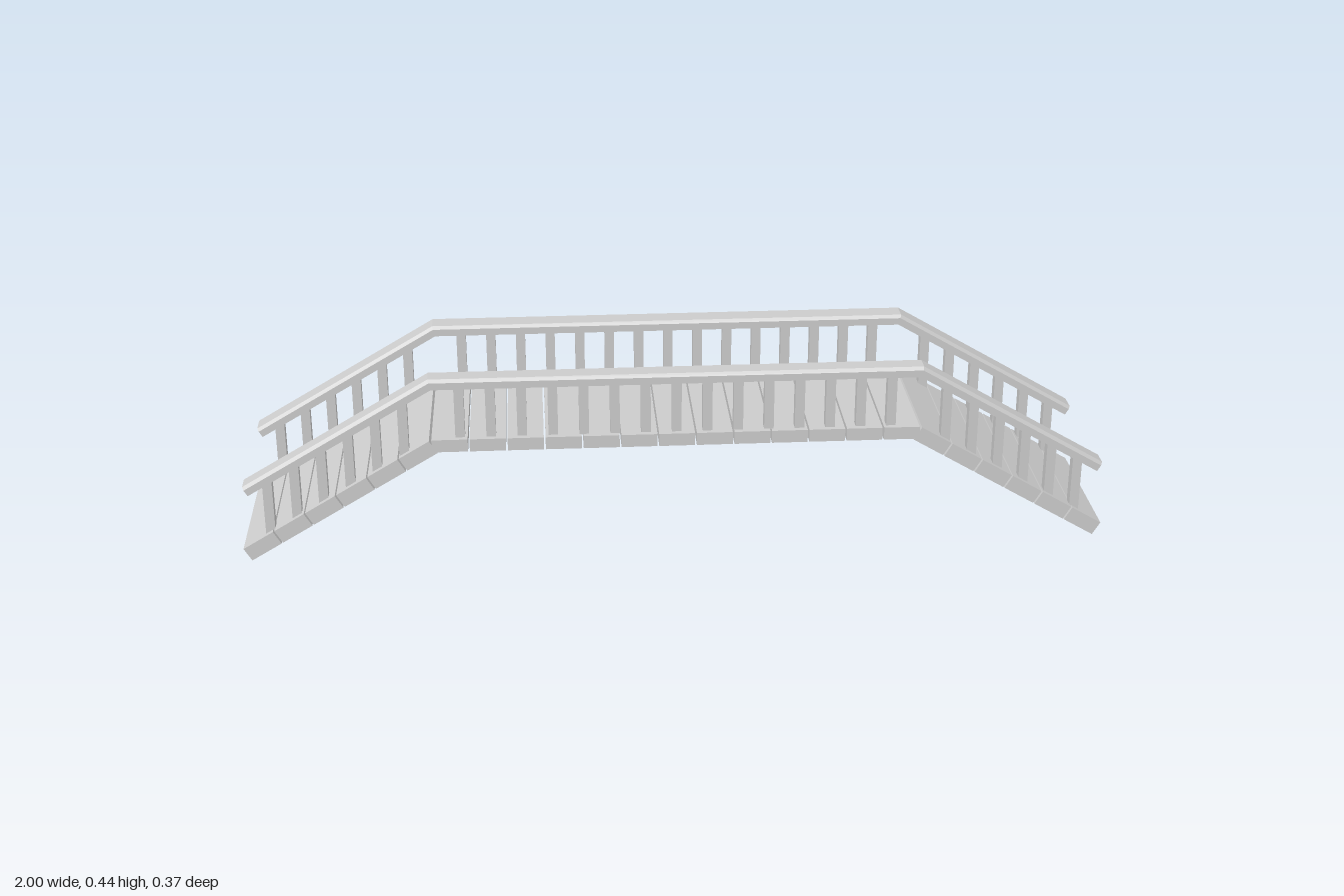
import * as THREE from 'three';

const BEND = 0.56;               // half length of the level span
const DECK_TOP = 0.292;
const RAMP_END = { x: 1, y: 0.0303 };
const RAIL_TOP = 0.443;
const RAIL_END = { x: 0.99, y: 0.19 };
const DECK_WIDTH = 0.354;
const GAP = 0.004;

const material = new THREE.MeshStandardMaterial({ color: 0xcccccc, flatShading: true });

function addBox(parent, name, size, position, tilt = 0) {
  const mesh = new THREE.Mesh(new THREE.BoxGeometry(...size), material);
  mesh.name = name;
  mesh.position.set(...position);
  mesh.rotation.z = tilt;
  parent.add(mesh);
}

// Handrail: one chamfered section swept through four mitred stations
function railGeometry(section) {
  const angle = Math.atan2(RAIL_TOP - RAIL_END.y, RAIL_END.x - BEND);
  const end = [Math.sin(angle), Math.cos(angle)];
  const mitre = [Math.tan(angle / 2), 1];
  const stations = [
    [-RAIL_END.x, RAIL_END.y, -end[0], end[1]],
    [-BEND, RAIL_TOP, -mitre[0], mitre[1]],
    [BEND, RAIL_TOP, mitre[0], mitre[1]],
    [RAIL_END.x, RAIL_END.y, end[0], end[1]],
  ];
  const n = section.length;
  const positions = [];
  const index = [];
  for (const [x, y, dx, dy] of stations) {
    for (const [z, drop] of section) positions.push(x - dx * drop, y - dy * drop, z);
  }
  for (let s = 0; s < 3; s++) {
    for (let i = 0; i < n; i++) {
      const a = s * n + i, b = s * n + (i + 1) % n;
      index.push(a, a + n, b, b, a + n, b + n);
    }
  }
  for (let i = 1; i < n - 1; i++) {
    index.push(0, i, i + 1, 3 * n, 3 * n + i + 1, 3 * n + i);
  }
  const geometry = new THREE.BufferGeometry();
  geometry.setAttribute('position', new THREE.Float32BufferAttribute(positions, 3));
  geometry.setIndex(index);
  const flat = geometry.toNonIndexed();
  flat.computeVertexNormals();
  return flat;
}

export function createModel() {
  const bridge = new THREE.Group();
  bridge.name = 'footbridge';

  // Level deck planks
  const deck = new THREE.Group();
  deck.name = 'deck';
  bridge.add(deck);
  const planks = 13, pitch = 2 * BEND / planks, thickness = 0.03;
  for (let i = 0; i < planks; i++) {
    addBox(deck, 'deckPlank', [pitch - GAP, thickness, DECK_WIDTH],
      [-BEND + (i + 0.5) * pitch, DECK_TOP - thickness / 2, 0]);
  }

  // Sloping ramp planks at both ends
  const run = RAMP_END.x - BEND, rise = DECK_TOP - RAMP_END.y;
  const slope = Math.atan2(rise, run), length = Math.hypot(run, rise);
  const rampPlanks = 6, rampThickness = 0.0352;
  for (const side of [-1, 1]) {
    const ramp = new THREE.Group();
    ramp.name = side > 0 ? 'leftRamp' : 'rightRamp';
    bridge.add(ramp);
    const step = length / rampPlanks;
    for (let i = 0; i < rampPlanks; i++) {
      // measured up from the foot, so the lowest edge has no gap
      const d = i * step + (step - GAP) / 2;
      const x = RAMP_END.x - d * Math.cos(slope) - Math.sin(slope) * rampThickness / 2;
      const y = RAMP_END.y + d * Math.sin(slope) - Math.cos(slope) * rampThickness / 2;
      addBox(ramp, 'rampPlank', [step - GAP, rampThickness, DECK_WIDTH],
        [side * x, y, 0], -side * slope);
    }
  }

  // Railings: vertical balusters below a bent handrail
  const post = 0.022, postDepth = 0.024, c = 0.007, t = 0.0235;
  const railSlope = (RAIL_TOP - RAIL_END.y) / (RAIL_END.x - BEND);
  const sections = {
    front: [[0.134, t], [0.134, c], [0.14, 0], [0.179, 0], [0.186, c], [0.186, t]],
    back: [[-0.186, t], [-0.186, 0], [-0.14, 0], [-0.134, c], [-0.134, t]],
  };
  for (const [where, section] of Object.entries(sections)) {
    const railing = new THREE.Group();
    railing.name = where + 'Railing';
    bridge.add(railing);

    const rail = new THREE.Mesh(railGeometry(section.slice().reverse()), material);
    rail.name = 'handrail';
    railing.add(rail);

    const z = where === 'front' ? 0.152 : -0.152;
    const addPost = (x, bottom, top) =>
      addBox(railing, 'baluster', [post, top - bottom, postDepth], [x, (top + bottom) / 2, z]);

    for (let i = -7; i <= 7; i++) addPost(i * 0.0704, DECK_TOP - 0.002, RAIL_TOP - 0.015);
    for (let i = 0; i < 6; i++) {
      const x = 0.936 - i * 0.063;
      const bottom = RAMP_END.y + (RAMP_END.x - x - post / 2) * rise / run;
      const top = RAIL_END.y + (RAIL_END.x - x) * railSlope - 0.019;
      addPost(x, bottom, top);
      addPost(-x, bottom, top);
    }
  }
  return bridge;
}
